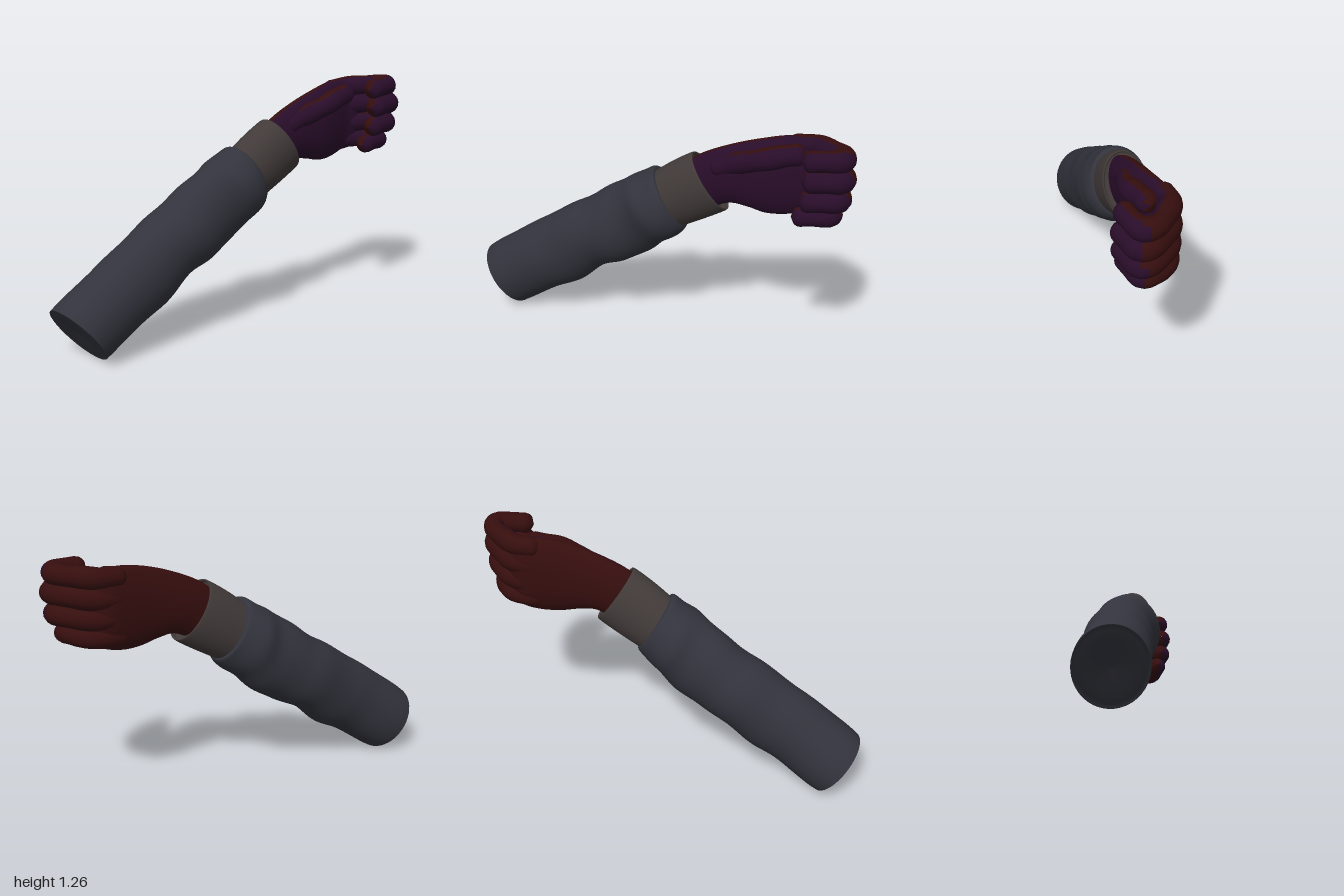
import * as THREE from 'three';
import { mergeVertices } from 'three/addons/utils/BufferGeometryUtils.js';

const mat = (name, color, side = THREE.FrontSide) => {
  const m = new THREE.MeshStandardMaterial({ color, side });
  m.name = name;
  return m;
};

// Lofts ellipses through stations [x, y, z, halfWidth, halfHeight, tiltDegrees];
// fold(t, angle) scales the radius.
function loft(stations, steps, sides, fold = () => 1) {
  const pos = [], index = [], n = stations.length - 1;
  for (let i = 0; i <= steps; i++) {
    const t = i / steps, f = t * n, k = Math.min(Math.floor(f), n - 1), w = f - k;
    const at = (j) => stations[Math.max(0, Math.min(n, j))];
    const s = stations[0].map((_, c) => {
      const [p0, p1, p2, p3] = [at(k - 1)[c], at(k)[c], at(k + 1)[c], at(k + 2)[c]];
      return p1 + 0.5 * w * (p2 - p0 + w * (2 * p0 - 5 * p1 + 4 * p2 - p3 + w * (3 * (p1 - p2) + p3 - p0)));
    });
    const tilt = THREE.MathUtils.degToRad(s[5]);
    for (let j = 0; j < sides; j++) {
      const a = (j / sides) * Math.PI * 2, r = fold(t, a);
      const u = Math.max(s[3], 0) * r * Math.cos(a), v = Math.max(s[4], 0) * r * Math.sin(a);
      pos.push(s[0] + u, s[1] + v * Math.cos(tilt), s[2] + v * Math.sin(tilt));
    }
  }
  for (let i = 0; i < steps; i++) {
    for (let j = 0; j < sides; j++) {
      const a = i * sides + j, b = i * sides + (j + 1) % sides;
      index.push(a, a + sides, b, b, a + sides, b + sides);
    }
  }
  const g = new THREE.BufferGeometry();
  g.setAttribute('position', new THREE.Float32BufferAttribute(pos, 3));
  g.setIndex(index);
  g.computeVertexNormals();
  return g;
}

// Round-ended finger along a curve, slightly fuller at the joints
function digit(points, radius) {
  const curve = new THREE.CatmullRomCurve3(points.map((p) => new THREE.Vector3(...p)));
  const steps = 36, sides = 16, len = curve.getLength();
  const g = new THREE.TubeGeometry(curve, steps, 1, sides);
  const p = g.attributes.position, v = new THREE.Vector3();
  for (let i = 0; i <= steps; i++) {
    const u = i / steps, c = curve.getPointAt(u);
    const d = Math.min(1, Math.min(u, 1 - u) * len / radius);
    const r = radius * Math.max(0.02, Math.sqrt(1 - (1 - d) ** 2)) * (1 + 0.05 * Math.cos(u * Math.PI * 6));
    for (let j = 0; j <= sides; j++) {
      const k = i * (sides + 1) + j;
      v.fromBufferAttribute(p, k).sub(c).multiplyScalar(r).add(c);
      p.setXYZ(k, v.x, v.y, v.z);
    }
  }
  g.deleteAttribute('uv');
  g.deleteAttribute('normal');
  const merged = mergeVertices(g, 1e-5);
  merged.computeVertexNormals();
  return merged;
}

// Splits faces into outer side (group 0) and palm side (group 1)
function twoTone(g) {
  const p = g.attributes.position, idx = g.index.array, sets = [[], []];
  const tri = new THREE.Triangle(), n = new THREE.Vector3();
  for (let i = 0; i < idx.length; i += 3) {
    tri.setFromAttributeAndIndices(p, idx[i], idx[i + 1], idx[i + 2]);
    tri.getNormal(n);
    sets[n.x > 0.22 ? 1 : 0].push(idx[i], idx[i + 1], idx[i + 2]);
  }
  g.setIndex([...sets[0], ...sets[1]]);
  g.addGroup(0, sets[0].length, 0);
  g.addGroup(sets[0].length, sets[1].length, 1);
  return g;
}

export function createModel() {
  const model = new THREE.Group();
  const sleeveMat = mat('slate cloth', 0x32333c);
  const cuffMat = mat('warm grey cuff', 0x413a39, THREE.DoubleSide);
  const gloveMats = [mat('dark red glove', 0x360e0e), mat('dark purple glove', 0x290d2a)];
  const add = (parent, name, geometry, material) => {
    const m = new THREE.Mesh(geometry, material);
    m.name = name;
    parent.add(m);
  };

  // Sleeve with soft spiral folds that grow towards the cuff
  add(model, 'sleeve', loft([
    [-0.155, 0.165, 0.885, 0, 0, 36],
    [-0.155, 0.162, 0.89, 0.15, 0.16, 36],
    [-0.153, 0.175, 0.87, 0.174, 0.185, 36],
    [-0.12, 0.305, 0.69, 0.163, 0.191, 33],
    [-0.10, 0.395, 0.54, 0.163, 0.197, 31],
    [-0.085, 0.51, 0.385, 0.168, 0.19, 28],
    [-0.06, 0.59, 0.245, 0.165, 0.197, 27],
    [-0.035, 0.685, 0.11, 0.157, 0.2, 27],
    [-0.005, 0.76, 0.015, 0.172, 0.193, 28],
    [0.01, 0.825, -0.075, 0.145, 0.175, 30],
    [0.012, 0.835, -0.085, 0.115, 0.14, 31],
  ], 110, 48, (t, a) => 1 + 0.028 * t * Math.sin(26 * t + 2 * a) + 0.018 * t * Math.sin(45 * t - a)), sleeveMat);

  // Straight cuff with an inward rolled lip
  add(model, 'cuff', loft([
    [0.008, 0.80, -0.04, 0.122, 0.155, 33],
    [0.03, 0.89, -0.175, 0.123, 0.168, 34],
    [0.048, 0.957, -0.28, 0.118, 0.17, 34],
    [0.049, 0.961, -0.286, 0.108, 0.158, 34],
    [0.045, 0.945, -0.262, 0.1, 0.15, 34],
    [0.045, 0.94, -0.255, 0, 0, 34],
  ], 50, 48), cuffMat);

  const hand = new THREE.Group();
  hand.name = 'hand';
  model.add(hand);

  // Wrist, palm and back of the hand
  add(hand, 'palm', twoTone(loft([
    [0.05, 0.93, -0.22, 0.07, 0.135, 34],
    [0.055, 0.985, -0.32, 0.073, 0.145, 31],
    [0.062, 1.01, -0.43, 0.075, 0.168, 20],
    [0.068, 1.025, -0.55, 0.078, 0.195, 8],
    [0.06, 1.04, -0.67, 0.07, 0.207, 2],
    [0.055, 1.05, -0.77, 0.058, 0.195, 0],
    [0.085, 1.055, -0.84, 0.04, 0.165, 0],
    [0.1, 1.055, -0.86, 0, 0, 0],
  ], 60, 40)), gloveMats);

  // Four curled fingers: [name, knuckle y, tip y, radius, reach in x, reach in z]
  [
    ['indexFinger', 1.205, 1.22, 0.053, 0.262, -0.935],
    ['middleFinger', 1.105, 1.125, 0.056, 0.275, -0.94],
    ['ringFinger', 1.005, 1.02, 0.054, 0.27, -0.93],
    ['littleFinger', 0.915, 0.925, 0.048, 0.245, -0.90],
  ].forEach(([name, y0, y1, r, x, z]) => add(hand, name, twoTone(digit([
    [0.05, y0 - 0.01, -0.66],
    [0.05, y0, -0.79],
    [0.115, (y0 + y1) / 2, -0.875],
    [x - 0.085, y1, z + 0.002],
    [x - 0.025, y1, z],
    [x, y1, z + 0.08],
    [x + 0.004, y1 - 0.008, z + 0.185],
  ], r)), gloveMats));

  // Thumb resting along the upper edge of the palm
  add(hand, 'thumb', twoTone(digit([
    [0.075, 1.04, -0.29],
    [0.095, 1.09, -0.41],
    [0.14, 1.14, -0.54],
    [0.135, 1.17, -0.65],
    [0.125, 1.19, -0.76],
  ], 0.055)), gloveMats);

  return model;
}
